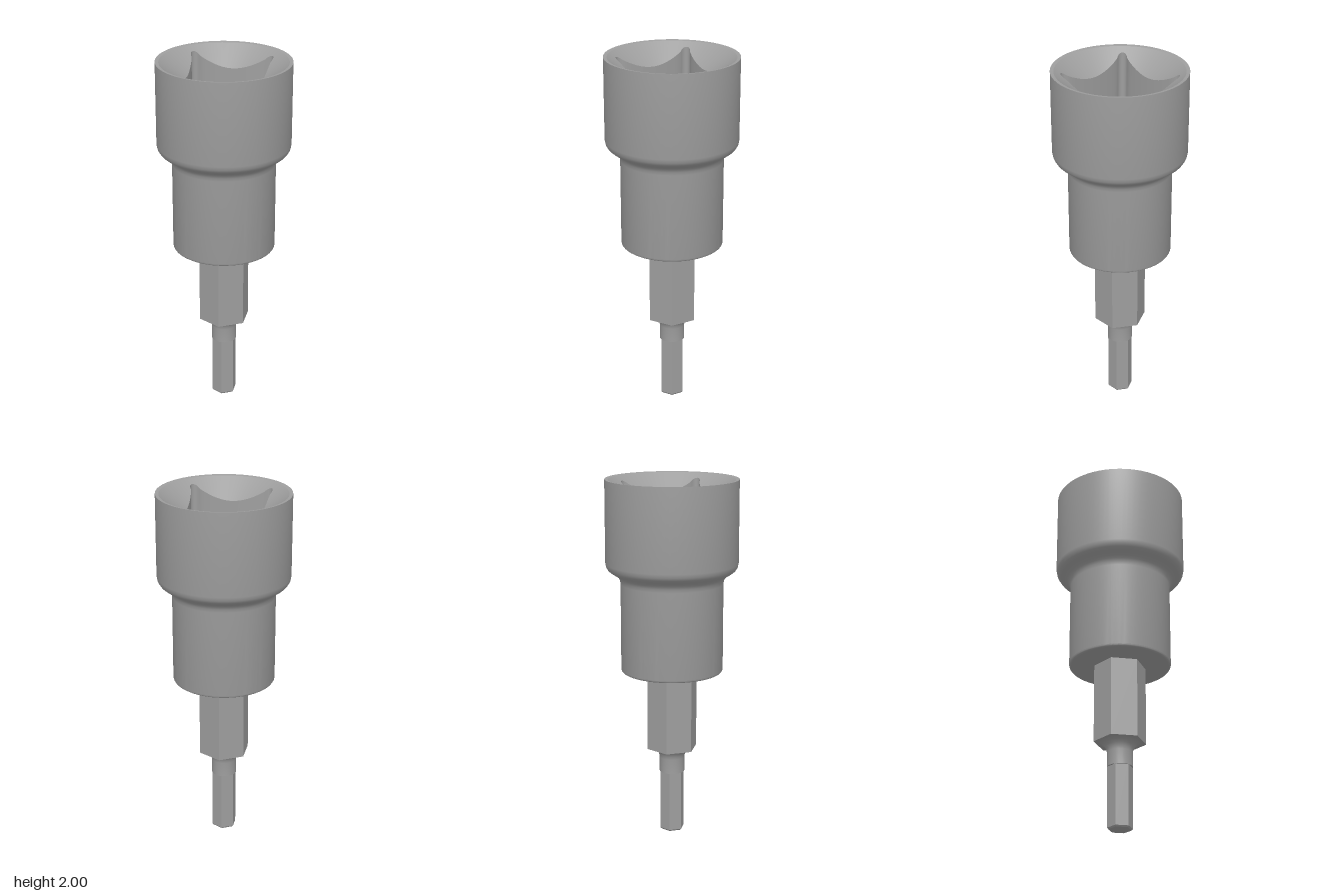
import * as THREE from 'three';
import { toCreasedNormals } from 'three/addons/utils/BufferGeometryUtils.js';

const material = new THREE.MeshStandardMaterial({ color: 0x9e9e9e });

function part(name, geometry, crease) {
  const mesh = new THREE.Mesh(toCreasedNormals(geometry, crease), material);
  mesh.name = name;
  return mesh;
}

// Six-sided bar with its corners towards +z and -z
function hexBar(name, apothem, y0, y1, bottomScale = 1) {
  const r = apothem / Math.cos(Math.PI / 6);
  const bar = part(name, new THREE.CylinderGeometry(r, r * bottomScale, y1 - y0, 6), 0.3);
  bar.position.y = (y0 + y1) / 2;
  return bar;
}

// Skin through closed loops of equal length; the last loop is closed with a fan
function loft(loops) {
  const n = loops[0].length;
  const pos = loops.flat(2), index = [];
  for (let j = 0; j < loops.length - 1; j++) {
    for (let i = 0; i < n; i++) {
      const k = (i + 1) % n, a = j * n, b = a + n;
      index.push(a + i, a + k, b + k, a + i, b + k, b + i);
    }
  }
  const last = (loops.length - 1) * n;
  pos.push(0, loops.at(-1)[0][1], 0);
  for (let i = 0; i < n; i++) index.push(last + i, last + (i + 1) % n, pos.length / 3 - 1);
  const g = new THREE.BufferGeometry();
  g.setAttribute('position', new THREE.Float32BufferAttribute(pos, 3));
  g.setIndex(index);
  return g;
}

// Square drive outline with relieved corners: one eighth, mirrored and turned
function driveOutline() {
  const eighth = [[0.203, 0], [0.2033, 0.025], [0.204, 0.05], [0.2053, 0.075], [0.207, 0.1],
    [0.2093, 0.125], [0.212, 0.15], [0.217, 0.178], [0.224, 0.19], [0.227, 0.202], [0.225, 0.213]];
  const quarter = [...eighth, [0.22, 0.22], ...eighth.slice(1).reverse().map(([a, b]) => [b, a])];
  const outline = [];
  for (let q = 0; q < 4; q++) {
    const c = Math.round(Math.cos(q * Math.PI / 2)), s = Math.round(Math.sin(q * Math.PI / 2));
    // (z, x) pairs turned about the vertical axis
    for (const [z, x] of quarter) outline.push([x * c + z * s, z * c - x * s]);
  }
  return outline;
}

// One watertight skin: stepped outside, rim, conical mouth, square pocket and bore
function socketBody() {
  const mouthR = 0.345, mouthY = 1.997, floorY = 1.54, boreR = 0.121, boreY = 1.4;
  const outline = driveOutline();
  const circle = (r, y) => outline.map(([x, z]) => {
    const l = Math.hypot(x, z);
    return [x / l * r, y, z / l * r];
  });
  const outside = [
    [0.1, 0.935], [0.268, 0.935], [0.2734, 0.9361], [0.2779, 0.9391], [0.2809, 0.9436],
    [0.282, 0.949], [0.282, 1.43], [0.285, 1.449], [0.293, 1.466], [0.306, 1.478],
    [0.335, 1.496], [0.35, 1.508], [0.36, 1.524], [0.364, 1.545], [0.364, 2],
  ];
  const mouth = outline.map(([x, z]) => [x, mouthY - 0.72 * (mouthR - Math.hypot(x, z)), z]);
  const floor = outline.map(([x, z]) => [x, floorY, z]);
  return part('socketBody', loft([
    ...outside.map(([r, y]) => circle(r, y)),
    circle(mouthR, mouthY), mouth, floor, circle(boreR, floorY), circle(boreR, boreY),
  ]), 0.445);
}

export function createModel() {
  const group = new THREE.Group();
  group.add(socketBody());

  // Hexagonal shank
  group.add(hexBar('hexShank', 0.125, 0.487, 0.937));

  // Round neck flaring up into the shank
  const neck = [
    [0, 0.347], [0.07, 0.347], [0.07, 0.43], [0.073, 0.447], [0.081, 0.464],
    [0.093, 0.478], [0.11, 0.487], [0.12, 0.489],
  ].map(p => new THREE.Vector2(...p));
  group.add(part('neck', new THREE.LatheGeometry(neck, 24), 0.6));

  // Slim hexagonal tip with a small chamfer
  group.add(hexBar('hexTip', 0.0605, 0.008, 0.35));
  group.add(hexBar('tipChamfer', 0.0605, 0, 0.008, 0.9));

  return group;
}
